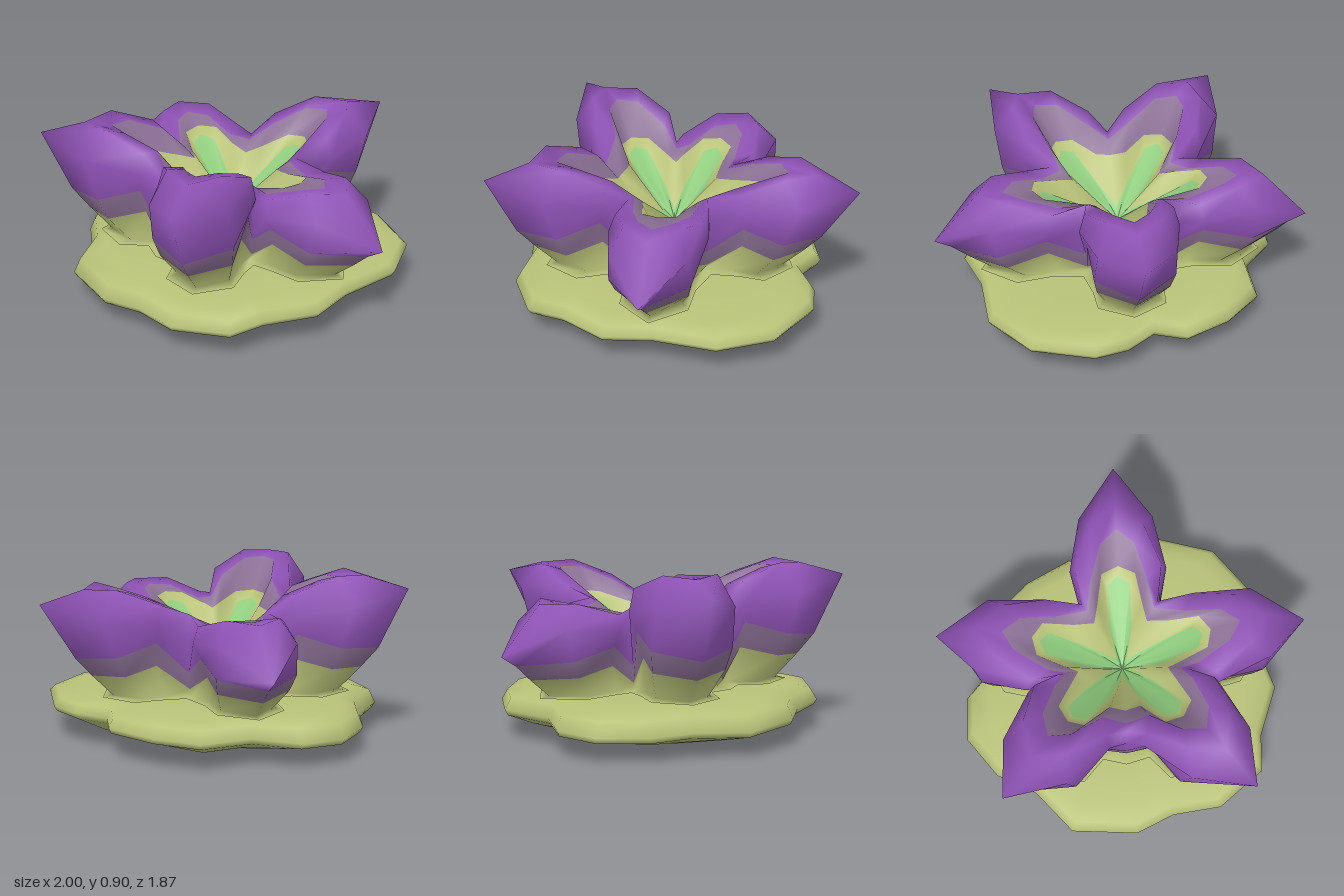
import * as THREE from 'three';

const material = (name, color) => Object.assign(new THREE.MeshStandardMaterial({ color }), { name });
const CENTER_Z = 0.08;
const BASE_Y = 0.26;

// Skin a stack of closed rings (each a list of Vector3), one material index per band
function loft(rings, bands) {
  const n = rings[0].length;
  const geo = new THREE.BufferGeometry().setFromPoints(rings.flat());
  const index = [];
  for (let k = 0; k < rings.length - 1; k++) {
    if (bands) geo.addGroup(k * n * 6, n * 6, bands[k]);
    for (let i = 0; i < n; i++) {
      const j = (i + 1) % n;
      const a = k * n + i, b = k * n + j, c = a + n, d = b + n;
      index.push(a, b, d, a, d, c);
    }
  }
  geo.setIndex(index);
  geo.computeVertexNormals();
  return geo;
}

// Petal rows, from a flare on the pad up the outside, over the rim and down into the bowl:
// valley [radius, y], flank and shoulder [along, across, y], tip [along, y]
const ROWS = [
  { v: [0.40, 0.265], a: [0.44, 0.19, 0.265], b: [0.58, 0.18, 0.265], t: [0.68, 0.265], bulge: 1 },
  { v: [0.33, 0.27], a: [0.38, 0.15, 0.27], b: [0.52, 0.14, 0.27], t: [0.62, 0.27], bulge: 1 },
  { v: [0.36, 0.31], a: [0.45, 0.18, 0.45], b: [0.63, 0.19, 0.41], t: [0.74, 0.39], bulge: 1 },
  { v: [0.37, 0.40], a: [0.47, 0.22, 0.58], b: [0.68, 0.21, 0.52], t: [0.83, 0.49], bulge: 1 },
  { v: [0.38, 0.58], a: [0.47, 0.26, 0.68], b: [0.76, 0.20, 0.72], t: [1.02, 0.79], drop: 1 },
  { v: [0.36, 0.71], a: [0.45, 0.23, 0.78], b: [0.66, 0.14, 0.86], t: [0.78, 0.85] },
  { v: [0.32, 0.69], a: [0.38, 0.15, 0.76], b: [0.56, 0.09, 0.83], t: [0.64, 0.835] },
  { v: [0.25, 0.64], a: [0.28, 0.12, 0.66], b: [0.44, 0.09, 0.70], t: [0.48, 0.71], level: true },
  { v: [0.05, 0.46], a: [0.20, 0.06, 0.52], b: [0.40, 0.06, 0.65], t: [0.44, 0.67], level: true },
  { v: [0, 0.42], a: [0, 0, 0.42], b: [0, 0, 0.42], t: [0, 0.42], level: true },
];
const BANDS = [0, 0, 1, 2, 2, 2, 1, 0, 3];

// Petal directions in degrees from the front, each with the valley before it
const front = { height: 1.08, drop: 0, bulge: 0.04 };
const side = { height: 0.82, drop: 0.19, bulge: 0.1 };
const back = { height: 1, drop: 0, bulge: 0 };
const PETALS = [
  { ...front, angle: 38.5, valley: 0, valleyScale: 1.24 },
  { ...side, angle: 101.5, valley: 70.7, valleyScale: 1 },
  { ...back, angle: 180, valley: 143, valleyScale: 0.93 },
  { ...side, angle: 258.5, valley: 217, valleyScale: 0.93 },
  { ...front, angle: 321.5, valley: 289.3, valleyScale: 1 },
];

// Point at a distance along a direction and an offset across it
function place(degrees, along, across, y) {
  const a = THREE.MathUtils.degToRad(degrees);
  const s = Math.sin(a), c = Math.cos(a);
  return new THREE.Vector3(along * s + across * c, y, CENTER_Z + along * c - across * s);
}

function petalRing({ v, a, b, t, bulge = 0, drop = 0, level = false }) {
  return PETALS.flatMap((p) => {
    const lift = (y) => (level ? y : BASE_Y + (y - BASE_Y) * p.height);
    const push = bulge * p.bulge;
    const shoulder = (sign) => place(p.angle, b[0] + push * 0.5, sign * b[1], lift(b[2]));
    const flank = (sign) => place(p.angle, a[0], sign * a[1], lift(a[2]));
    return [
      place(p.valley, v[0] * p.valleyScale, 0, v[1]),
      flank(-1),
      shoulder(-1),
      place(p.angle, t[0] + push, 0, lift(t[1]) - drop * p.drop),
      shoulder(1),
      flank(1),
    ];
  });
}

// Lobed outline of the leaf pad [x, z], from the front round by the left side
const PAD = [
  [0.04, 0.93], [0.24, 0.84], [0.5, 0.81], [0.74, 0.62], [0.75, 0.42], [0.85, 0.15],
  [0.77, -0.1], [0.75, -0.44], [0.56, -0.69], [0.23, -0.79], [0.05, -0.74], [-0.1, -0.62],
  [-0.27, -0.68], [-0.52, -0.55], [-0.7, -0.37], [-0.7, -0.08], [-0.87, 0.12], [-0.87, 0.36],
  [-0.71, 0.57], [-0.5, 0.68], [-0.31, 0.9],
];

// Pad rows: outline scale, height, amount of underside ripple, amount of edge tilt
const PAD_ROWS = [
  [0, 0.06, 0, 0], [0.25, 0.045, 0.01, 0], [0.55, 0.025, 0.022, 0], [0.8, 0.08, 0.01, 0.5],
  [0.98, 0.135, 0, 1], [1, 0.165, 0, 1], [0.96, 0.22, 0, 0.2], [0.85, 0.245, 0, 0],
  [0.6, 0.255, 0, 0], [0, 0.255, 0, 0],
];

function padRing([scale, y, ripple, tilt]) {
  return PAD.map(([x, z]) => new THREE.Vector3(
    x * scale,
    y + ripple * Math.cos(5 * Math.atan2(x, z)) + tilt * 0.022 * (x - z),
    0.05 + (z - 0.05) * scale,
  ));
}

export function createModel() {
  const olive = material('olive green', 0xb8c278);
  const mauve = material('dull mauve', 0x8c7196);
  const purple = material('purple', 0x8f53b6);
  const green = material('fresh green', 0x8ecb7c);

  const model = new THREE.Group();
  model.name = 'flower';

  // Leaf pad under the bloom
  const pad = new THREE.Mesh(loft(PAD_ROWS.map(padRing)), olive);
  pad.name = 'leafPad';

  // Five joined petals with banded colours and a green star in the bowl
  const petals = new THREE.Mesh(loft(ROWS.map(petalRing), BANDS), [olive, mauve, purple, green]);
  petals.name = 'petals';

  model.add(pad, petals);
  return model;
}
